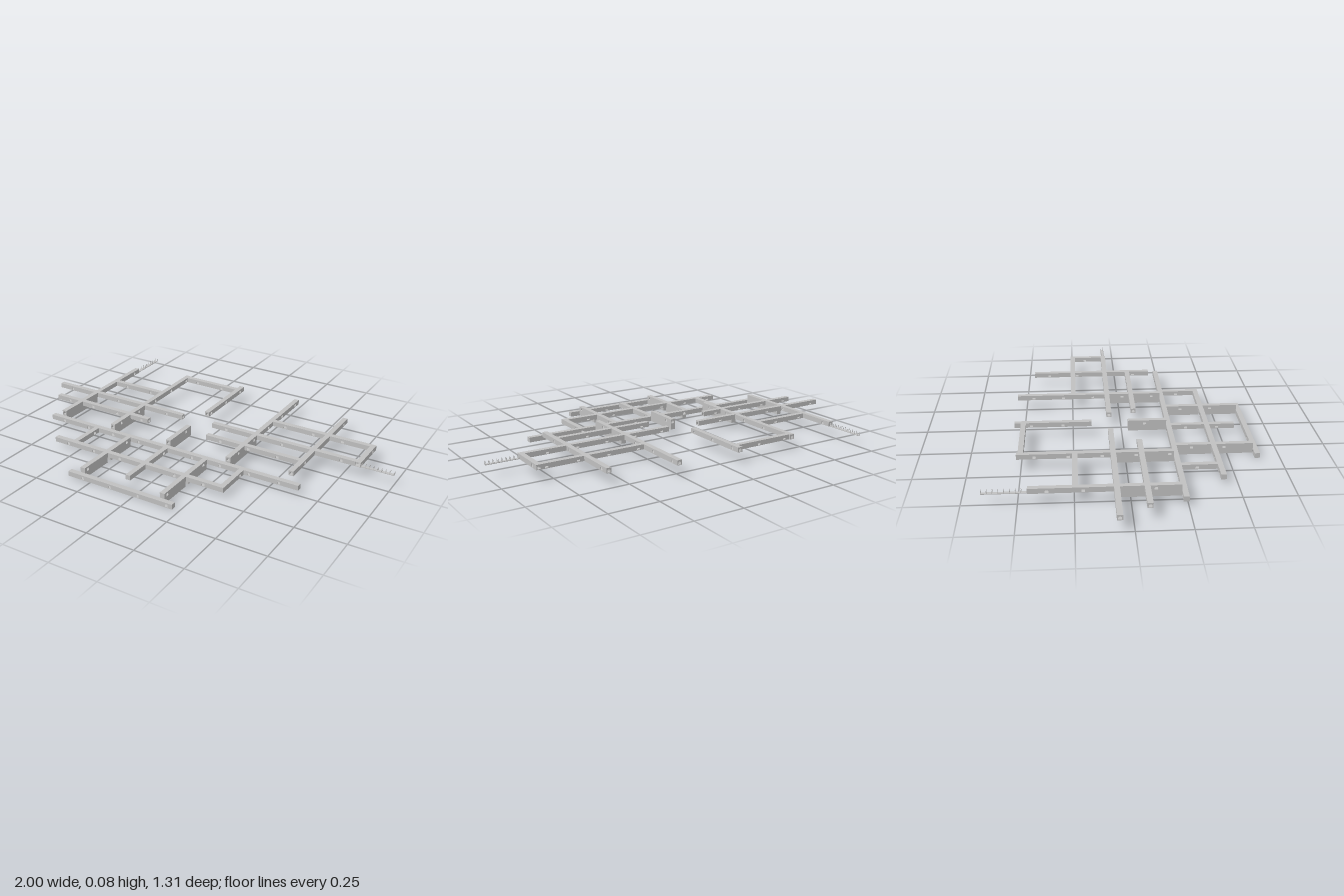
import * as THREE from 'three';
import { mergeGeometries } from 'three/addons/utils/BufferGeometryUtils.js';

const W = 0.026, H = 0.025, T = 0.003, STEP = 0.16;

// Levels of hollow corridors: [axis, centre line, start, end]
const LEVELS = [
  { name: 'lowerCorridor', y: 0, arch: false, bars: [['x', 0.64, -0.38, 0.215]] },
  { name: 'middleCorridor', y: 0.027, arch: false, bars: [
    ['x', 0.238, -0.815, 0.65], ['x', 0.433, -0.63, 0.363],
    ['z', -0.515, 0.24, 0.43], ['z', -0.31, 0.24, 0.628], ['z', -0.083, 0.24, 0.575],
    ['z', 0.147, 0.24, 0.628], ['z', 0.35, 0.24, 0.43]] },
  { name: 'upperCorridor', y: 0.057, arch: true, bars: [
    ['x', -0.063, -1, -0.175], ['x', -0.063, 0.01, 0.822],
    ['x', 0.071, -0.91, -0.305], ['x', 0.067, 0.05, 0.585],
    ['x', -0.245, -0.75, -0.43], ['x', -0.245, 0.26, 0.822], ['x', -0.5, -0.43, -0.083],
    ['z', -0.75, -0.455, 0.225], ['z', -0.428, -0.52, 0.225],
    ['z', -0.083, -0.545, -0.155], ['z', -0.083, 0.03, 0.225],
    ['z', 0.262, -0.545, 0.225], ['z', 0.583, -0.465, 0.19], ['z', 0.822, -0.258, -0.05]] }
];

// Solid support walls below z-running corridors: [x, z start, z end, bottom, top]
const SUPPORTS = [
  ...[-0.31, 0.147].flatMap(x => [[x, 0.255, 0.425, 0, 0.027], [x, 0.45, 0.628, 0, 0.027]]),
  ...[-0.75, -0.428, 0.262].map(x => [x, -0.045, 0.225, 0.027, 0.057]),
  [-0.083, 0.03, 0.225, 0.027, 0.057]
];

function box(u0, u1, y0, y1, v0, v1) {
  return new THREE.BoxGeometry(u1 - u0, y1 - y0, v1 - v0)
    .translate((u0 + u1) / 2, (y0 + y1) / 2, (v0 + v1) / 2).toNonIndexed();
}

// Upright panel with arched openings centred at the given positions
function panel(a, b, openings) {
  const s = new THREE.Shape();
  s.moveTo(a, 0); s.lineTo(b, 0); s.lineTo(b, H); s.lineTo(a, H); s.closePath();
  const r = 0.008;
  for (const c of openings) {
    if (c - r < a + 0.003 || c + r > b - 0.003) continue;
    const p = new THREE.Path();
    p.moveTo(c - r, 0.003);
    p.lineTo(c - r, 0.01);
    p.absarc(c, 0.01, r, Math.PI, 0, true);
    p.lineTo(c + r, 0.003);
    p.closePath();
    s.holes.push(p);
  }
  return new THREE.ExtrudeGeometry(s, { depth: T, bevelEnabled: false, curveSegments: 8 });
}

// Pieces of a wall left between the corridors that cross it
function freeSpans(bar, line, bars) {
  const [axis, , a, b] = bar;
  const cuts = bars.filter(o => o[0] !== axis && o[2] < line && line < o[3])
    .map(o => [o[1] - W / 2, o[1] + W / 2]).sort((p, q) => p[0] - q[0]);
  const spans = [];
  let start = a;
  for (const [c0, c1] of cuts) {
    if (c1 <= a || c0 >= b) continue;
    if (c0 - start > 0.002) spans.push([start, c0]);
    start = Math.max(start, c1);
  }
  if (b - start > 0.002) spans.push([start, b]);
  return spans;
}

function corridor(bar, level, material) {
  const [axis, c, a, b] = bar;
  const geos = [
    box(a, b, 0, 0.002, -W / 2, W / 2),
    box(a, b, H - T, H, -W / 2, W / 2)
  ];
  // Side walls; openings on opposite sides are staggered
  for (const side of [-1, 1]) {
    const line = c + (axis === 'x' ? side : -side) * (W / 2 - T / 2);
    const marks = [];
    for (let u = a + (side > 0 ? 0.085 : 0.045); u < b; u += STEP) marks.push(u);
    for (const [s, e] of freeSpans(bar, line, level.bars))
      geos.push(panel(s, e, marks).translate(0, 0, side > 0 ? W / 2 - T : -W / 2));
  }
  // End walls where the corridor does not run into another
  for (const [u, inner] of [[a, a], [b, b - T]]) {
    const joined = level.bars.some(o => o[0] !== axis && Math.abs(o[1] - u) < W / 2
      && o[2] <= c && c <= o[3]);
    if (!joined) geos.push(panel(-W / 2, W / 2, level.arch ? [0] : [])
      .rotateY(Math.PI / 2).translate(inner, 0, 0));
  }
  const mesh = new THREE.Mesh(mergeGeometries(geos), material);
  mesh.name = level.name;
  if (axis === 'x') mesh.position.set(0, level.y, c);
  else {
    mesh.rotation.y = -Math.PI / 2;
    mesh.position.set(c, level.y, 0);
  }
  return mesh;
}

// Narrow deck with thin railing posts on both edges
function bridge(length, material) {
  const geos = [box(0, length, 0, 0.003, -0.008, 0.008)];
  const n = 8;
  for (let i = 0; i <= n; i++) {
    const u = 0.001 + i * (length - 0.002) / n;
    for (const v of [-0.007, 0.007])
      geos.push(box(u - 0.001, u + 0.001, 0, 0.018, v - 0.001, v + 0.001));
  }
  const mesh = new THREE.Mesh(mergeGeometries(geos), material);
  mesh.name = 'railedBridge';
  return mesh;
}

export function createModel() {
  const model = new THREE.Group();
  model.name = 'terracedCorridors';
  const stone = new THREE.MeshStandardMaterial({ color: 0xc0c0c0 });
  stone.name = 'grey stone';

  for (const level of LEVELS)
    for (const bar of level.bars) model.add(corridor(bar, level, stone));

  for (const [x, z0, z1, y0, y1] of SUPPORTS) {
    const wall = new THREE.Mesh(box(x - W / 2, x + W / 2, y0, y1, z0, z1), stone);
    wall.name = 'supportWall';
    model.add(wall);
  }

  const east = bridge(0.165, stone);
  east.position.set(0.835, 0.057, -0.063);
  const north = bridge(0.203, stone);
  north.rotation.y = Math.PI / 2;
  north.position.set(-0.75, 0.057, -0.455);
  model.add(east, north);
  return model;
}
